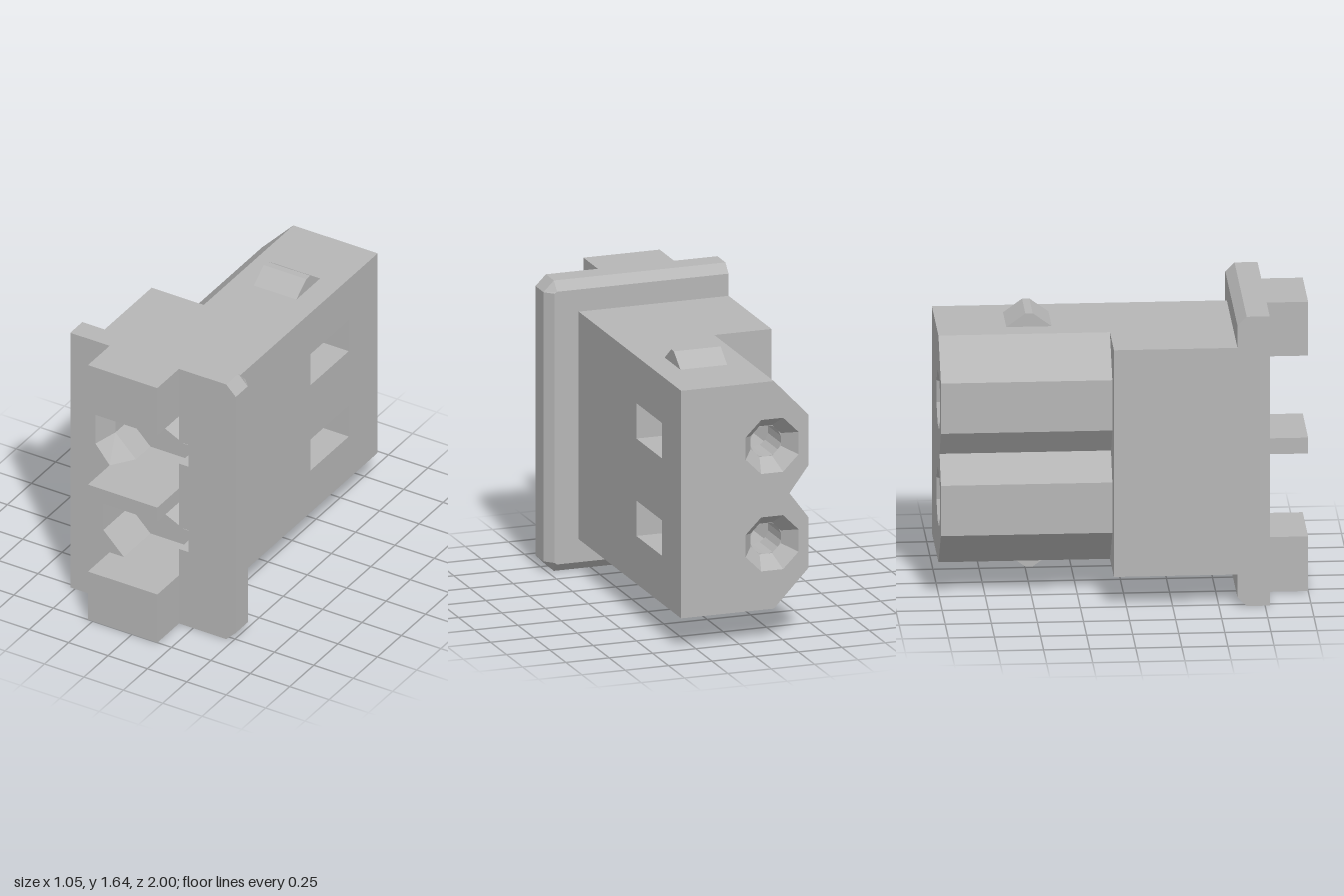
import * as THREE from 'three';

const POLES = [
  { cy: 0.55, b: 0.31, t: 0.78 },
  { cy: 1.1, b: 0.87, t: 1.335 },
];
const HOLE_X = -0.19;

const ring = (cy, r, n) => Array.from({ length: n }, (_, i) => {
  const a = ((i + 0.5) / n) * Math.PI * 2;
  return [HOLE_X + r * Math.cos(a), cy + r * Math.sin(a)];
});

// Keyhole channel: round end on the -x side, wide slot towards +x
function keyhole(cy) {
  const arc = [];
  for (let i = 0; i <= 6; i++) {
    const a = Math.PI * (-0.22 - (1.56 * i) / 6);
    arc.push([-0.2 + 0.125 * Math.cos(a), cy + 0.125 * Math.sin(a)]);
  }
  return [[0.16, cy - 0.14], [0.02, cy - 0.14], ...arc, [0.02, cy + 0.14], [0.16, cy + 0.14]];
}

// Front pocket with cut corners and a small side notch
function pocket({ cy, b, t }, wide) {
  const left = wide
    ? [[-0.28, b], [-0.37, b + 0.11], [-0.37, t - 0.11], [-0.28, t]]
    : [[-0.19, b], [-0.32, b + 0.13], [-0.32, t - 0.13], [-0.19, t]];
  return [[0.16, b], ...left, [0.16, t],
    [0.16, cy + 0.07], [0.22, cy + 0.07], [0.22, cy - 0.07], [0.16, cy - 0.07]];
}

export function createModel() {
  const model = new THREE.Group();
  const grey = new THREE.MeshStandardMaterial({ color: 0xb6b6b6 });
  grey.name = 'grey plastic';

  const add = (name, geometry) => {
    const mesh = new THREE.Mesh(geometry, grey);
    mesh.name = name;
    model.add(mesh);
    return mesh;
  };
  const toVectors = (pts) => pts.map(([x, y]) => new THREE.Vector2(x, y));

  // Slab extruded along z, optionally reshaped by a vertex rule
  function slab(name, outline, holes, z0, z1, rule) {
    const shape = new THREE.Shape(toVectors(outline));
    holes.forEach((h) => shape.holes.push(new THREE.Path(toVectors(h))));
    const g = new THREE.ExtrudeGeometry(shape, { depth: z1 - z0, bevelEnabled: false });
    g.translate(0, 0, z0);
    if (rule) {
      const p = g.attributes.position;
      const v = new THREE.Vector3();
      for (let i = 0; i < p.count; i++) {
        rule(v.fromBufferAttribute(p, i));
        p.setXYZ(i, v.x, v.y, v.z);
      }
      g.computeVertexNormals();
    }
    return add(name, g);
  }

  // Flange: front plate, then a bevelled back edge
  const flange = [[-0.53, 0], [0.46, 0], [0.52, 0.06], [0.52, 1.58], [0.46, 1.64], [-0.53, 1.64]];
  const innerPockets = POLES.map((p) => pocket(p, false));
  slab('flangePlate', flange, POLES.map((p, i) => pocket(p, i === 1)), 0.65, 0.775);
  slab('flangeBevel', flange, innerPockets, 0.6, 0.65, (v) => {
    if (v.z < 0.62) {
      v.x = Math.min(v.x, 0.475);
      v.y = THREE.MathUtils.clamp(v.y, 0.05, 1.59);
    }
  });

  // Sloped lead-in of the upper pocket
  const wide = pocket(POLES[1], true), inner = innerPockets[1], lead = [];
  for (let i = 1; i < 4; i++) {
    const w1 = [...wide[i], 0.775], w2 = [...wide[i + 1], 0.775];
    const n1 = [...inner[i], 0.65], n2 = [...inner[i + 1], 0.65];
    lead.push(...w1, ...n1, ...n2, ...w1, ...n2, ...w2);
  }
  const leadGeometry = new THREE.BufferGeometry();
  leadGeometry.setAttribute('position', new THREE.Float32BufferAttribute(lead, 3));
  leadGeometry.computeVertexNormals();
  add('pocketLeadIn', leadGeometry);

  // Front tabs
  [['bottomTab', 0, 0.31], ['middleTab', 0.78, 0.87], ['topTab', 1.335, 1.64]].forEach(([name, y0, y1]) => {
    add(name, new THREE.BoxGeometry(0.44, y1 - y0, 0.225)).position.set(-0.06, (y0 + y1) / 2, 0.8875);
  });

  // Wide front half of the housing
  const block = [[-0.53, 0.18], [0.335, 0.18], [0.335, 1.465], [-0.53, 1.465]];
  const channels = POLES.map((p) => keyhole(p.cy));
  slab('pocketHousing', block, innerPockets, 0.5, 0.6);
  slab('frontHousing', block, channels, -0.07, 0.5);

  // Rear half with two chamfered lobes on the -x side
  const lobes = [[-0.2, 1.465], [-0.4, 1.255], [-0.4, 0.97], [-0.29, 0.8225],
    [-0.4, 0.675], [-0.4, 0.39], [-0.2, 0.18]];
  const rear = [[0.335, 0.18], [0.335, 1.465], ...lobes];
  slab('rearHousing', rear, channels, -0.3, -0.07);

  // Section with side windows opening into the channels
  const windowed = [[0.335, 0.18]];
  POLES.forEach(({ cy }) => windowed.push(
    [0.335, cy - 0.1], [0.16, cy - 0.1], ...keyhole(cy), [0.16, cy + 0.1], [0.335, cy + 0.1]));
  windowed.push([0.335, 1.465], ...lobes);
  slab('windowHousing', windowed, [], -0.7, -0.3);

  // Back wall with round bores ending in eight-sided funnels
  slab('boreHousing', rear, POLES.map((p) => ring(p.cy, 0.09, 14)), -0.9, -0.7);
  slab('funnelHousing', rear, POLES.map((p) => ring(p.cy, 0.165, 8)), -1, -0.9, (v) => {
    if (v.z < -0.95) return;
    POLES.forEach(({ cy }) => {
      if (Math.hypot(v.x - HOLE_X, v.y - cy) < 0.175) {
        v.x = HOLE_X + (v.x - HOLE_X) * 0.57;
        v.y = cy + (v.y - cy) * 0.57;
      }
    });
  });

  // Latch ridges on top and bottom
  [['topLatch', 1.46, 1.54], ['bottomLatch', 0.185, 0.105]].forEach(([name, base, peak]) => {
    const profile = new THREE.Shape(toVectors([[0.37, base], [0.63, base], [0.52, peak], [0.48, peak]]));
    const g = new THREE.ExtrudeGeometry(profile, { depth: 0.27, bevelEnabled: false });
    g.rotateY(Math.PI / 2);
    g.translate(-0.07, 0, 0);
    add(name, g);
  });

  return model;
}
